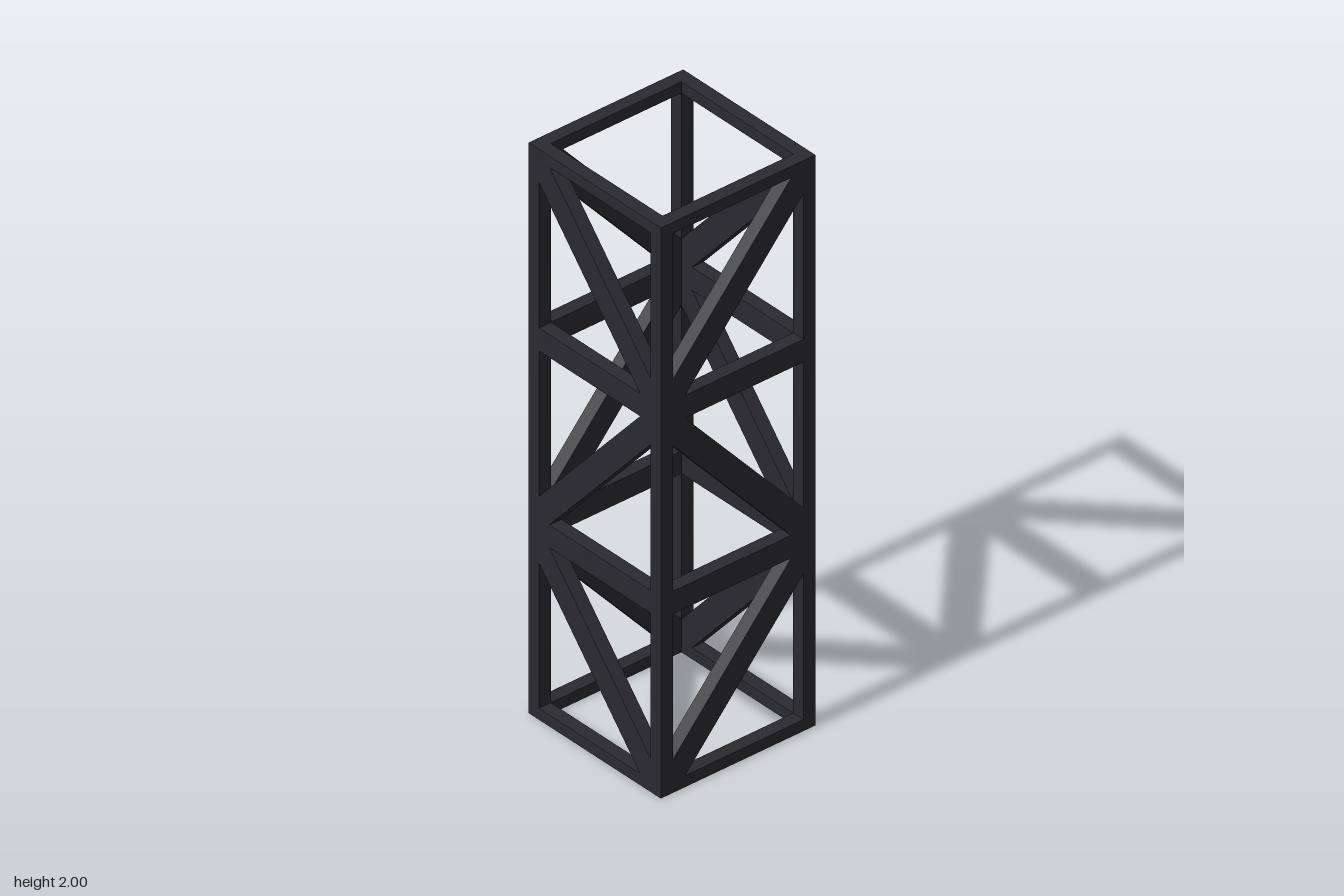
import * as THREE from 'three';

const HEIGHT = 2;
const HALF = 0.297;      // half width of the tower
const BAR = 0.046;       // thickness of posts, rails and braces
const RAIL = 0.08;       // height of the rails between bays
const BRACE = 0.086;     // face width of the diagonals
const BAYS = 3;
const BAY = HEIGHT / BAYS;

const material = new THREE.MeshStandardMaterial({ color: 0x2b2a2f, flatShading: true });

function addBox(parent, name, w, h, d, x, y, z) {
  const mesh = new THREE.Mesh(new THREE.BoxGeometry(w, h, d), material);
  mesh.name = name;
  mesh.position.set(x, y, z);
  parent.add(mesh);
}

// Diagonal strip from corner to corner of a bay, trimmed to the bay outline
function braceGeometry(dir) {
  const a = HALF, b = BAY / 2;
  const length = Math.hypot(a, b);
  const dx = (BRACE / 2) * length / b;
  const dy = (BRACE / 2) * length / a;
  const points = [
    [-a, -b], [-a + dx, -b], [a, b - dy],
    [a, b], [a - dx, b], [-a, -b + dy],
  ].map(([x, y]) => new THREE.Vector2(x * dir, y));
  return new THREE.ExtrudeGeometry(new THREE.Shape(points), { depth: BAR, bevelEnabled: false });
}

// One side of the tower, facing +z
function createSide(flip) {
  const side = new THREE.Group();
  const span = 2 * (HALF - BAR);
  const z = HALF - BAR / 2;

  // Horizontal rails: half height at the top and bottom
  for (let i = 0; i <= BAYS; i++) {
    const low = Math.max(0, i * BAY - RAIL / 2);
    const high = Math.min(HEIGHT, i * BAY + RAIL / 2);
    addBox(side, 'rail', span, high - low, BAR, 0, (low + high) / 2, z);
  }

  // Zigzag diagonals
  for (let i = 0; i < BAYS; i++) {
    const dir = flip * (i % 2 === 0 ? 1 : -1);
    const brace = new THREE.Mesh(braceGeometry(dir), material);
    brace.name = 'diagonalBrace';
    brace.position.set(0, (i + 0.5) * BAY, HALF - BAR);
    side.add(brace);
  }
  return side;
}

export function createModel() {
  const tower = new THREE.Group();
  tower.name = 'trussTower';

  // Corner posts
  const c = HALF - BAR / 2;
  for (const x of [-c, c]) {
    for (const z of [-c, c]) addBox(tower, 'cornerPost', BAR, HEIGHT, BAR, x, HEIGHT / 2, z);
  }

  // Four sides, neighbours mirrored so the diagonals meet at the corners
  ['frontSide', 'leftSide', 'backSide', 'rightSide'].forEach((name, i) => {
    const side = createSide(i % 2 === 0 ? 1 : -1);
    side.name = name;
    side.rotation.y = i * Math.PI / 2;
    tower.add(side);
  });

  return tower;
}
